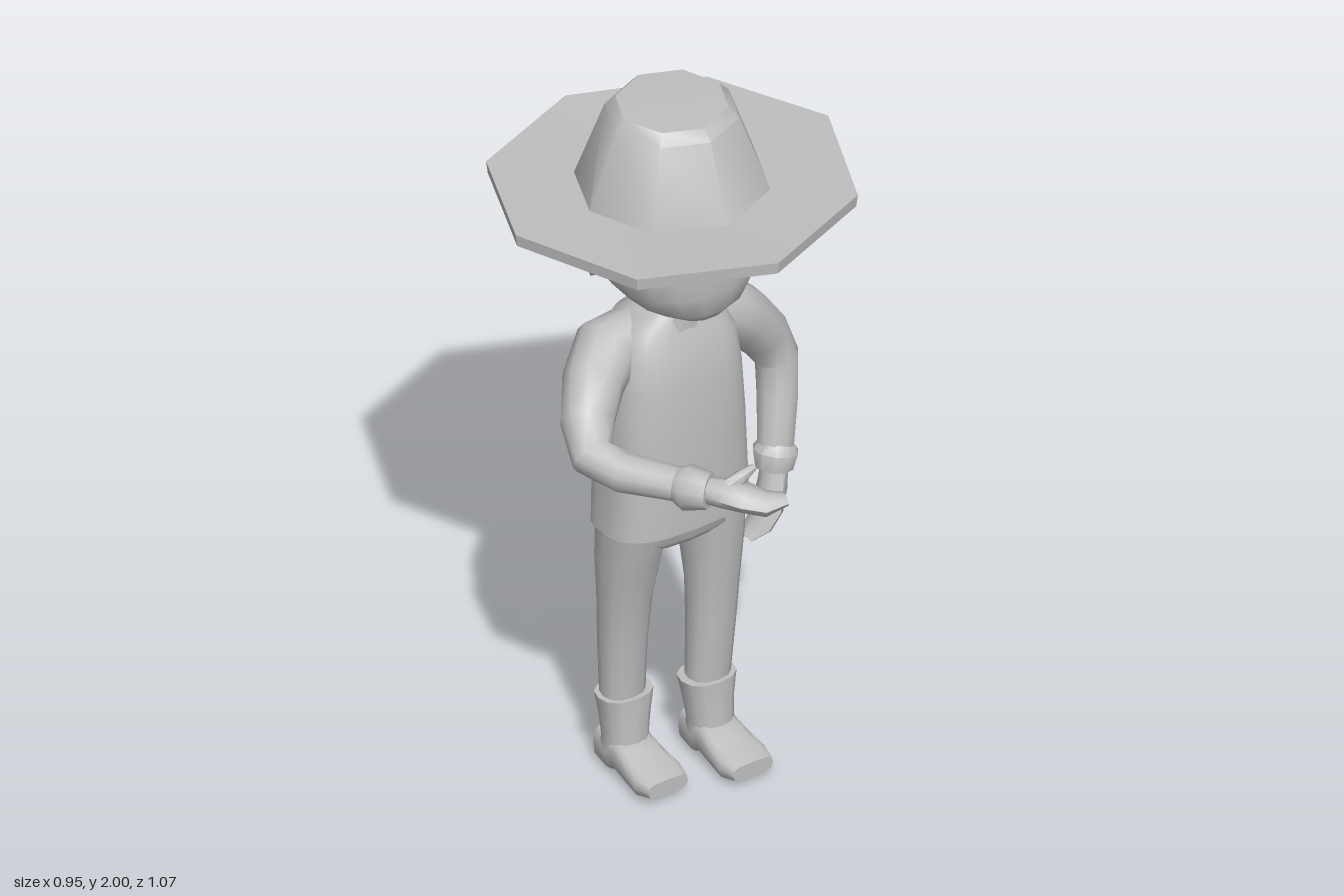
import * as THREE from 'three';
import { toCreasedNormals } from 'three/addons/utils/BufferGeometryUtils.js';

const V = (x, y, z) => new THREE.Vector3(x, y, z);
const spow = (v, e) => Math.sign(v) * Math.pow(Math.abs(v), e);

// Skin a grid of points; columns run counter-clockwise about the row direction.
function skin(rows, cols, at, closed = true, capped = true) {
  const pos = [], idx = [];
  for (let i = 0; i < rows; i++) for (let j = 0; j < cols; j++) pos.push(...at(i, j));
  const last = closed ? cols : cols - 1;
  for (let i = 0; i < rows - 1; i++) for (let j = 0; j < last; j++) {
    const k = (j + 1) % cols, a = i * cols + j, b = i * cols + k;
    idx.push(a, b, b + cols, a, b + cols, a + cols);
  }
  if (capped) for (const row of [0, rows - 1]) {
    const c = [0, 0, 0];
    for (let j = 0; j < cols; j++) at(row, j).forEach((v, n) => { c[n] += v / cols; });
    const m = pos.length / 3;
    pos.push(...c);
    for (let j = 0; j < cols; j++) {
      const a = row * cols + j, b = row * cols + (j + 1) % cols;
      if (row === 0) idx.push(m, b, a); else idx.push(m, a, b);
    }
  }
  const g = new THREE.BufferGeometry();
  g.setAttribute('position', new THREE.Float32BufferAttribute(pos, 3));
  g.setIndex(idx);
  return toCreasedNormals(g, 0.95);
}

// Tapered limb: each point is [x, y, z, radius along ref, radius across].
function limb(pts, { ref = V(1, 0, 0), sides = 10, e = 1, dir = null } = {}) {
  const p = pts.map(q => V(q[0], q[1], q[2]));
  const frames = p.map((_, i) => {
    const t = dir ? dir.clone()
      : p[Math.min(i + 1, p.length - 1)].clone().sub(p[Math.max(i - 1, 0)]).normalize();
    const u = ref.clone().addScaledVector(t, -ref.dot(t)).normalize();
    return [u, t.clone().cross(u)];
  });
  return skin(pts.length, sides, (i, j) => {
    const a = (j / sides) * Math.PI * 2, [u, v] = frames[i];
    return p[i].clone().addScaledVector(u, pts[i][3] * spow(Math.cos(a), e))
      .addScaledVector(v, (pts[i][4] ?? pts[i][3]) * spow(Math.sin(a), e)).toArray();
  });
}

// Upright body section rows: [y, half width, front z, back z].
const column = (rows, sides, e) => limb(
  rows.map(([y, rx, f, b]) => [0, y, (f + b) / 2, rx, (f - b) / 2]),
  { sides, e, dir: V(0, 1, 0) });

function table(t, x) {
  for (let i = 1; i < t.length; i++) if (x <= t[i][0]) {
    const k = (x - t[i - 1][0]) / (t[i][0] - t[i - 1][0]);
    return t[i - 1][1] + (t[i][1] - t[i - 1][1]) * k;
  }
  return t[t.length - 1][1];
}

export function createModel() {
  const model = new THREE.Group();
  const clay = new THREE.MeshStandardMaterial({ color: 0xbfbfbf, side: THREE.DoubleSide });
  clay.name = 'grey';
  const add = (name, geometry) => {
    const m = new THREE.Mesh(geometry, clay);
    m.name = name;
    model.add(m);
  };

  // Eight-sided hat with the back of the brim dipping
  const hat = new THREE.LatheGeometry([
    [0, 1.72], [0.25, 1.708], [0.47, 1.735], [0.474, 1.769], [0.25, 1.757],
    [0.172, 1.965], [0.145, 1.993], [0, 2],
  ].map(q => new THREE.Vector2(...q)), 8);
  const hp = hat.attributes.position;
  for (let i = 0; i < hp.count; i++) {
    if (hp.getZ(i) < 0) hp.setY(i, hp.getY(i) + 0.05 * hp.getZ(i) * (hp.getY(i) < 1.8 ? 1 : 0));
  }
  hat.translate(0, 0, -0.055);
  add('hat', toCreasedNormals(hat, 0.75));

  // Head and neck
  add('head', column([
    [1.42, 0.05, 0.07, -0.12], [1.435, 0.09, 0.12, -0.15], [1.47, 0.15, 0.148, -0.19],
    [1.53, 0.198, 0.157, -0.22], [1.6, 0.218, 0.163, -0.24], [1.68, 0.215, 0.16, -0.24],
    [1.73, 0.2, 0.15, -0.23],
  ], 18, 0.88));
  add('neck', column([[1.34, 0.085, 0.02, -0.14], [1.4, 0.065, 0.015, -0.12], [1.46, 0.07, 0.02, -0.12]], 10, 1));

  // Hair shell with a jagged fringe, dropping behind the ears
  const edge = [[0, 1.675], [0.6, 1.672], [1.2, 1.65], [1.55, 1.615], [1.75, 1.56],
    [1.95, 1.495], [2.3, 1.465], [3.2, 1.47]];
  const hairCols = 32;
  add('hair', skin(6, hairCols, (i, j) => {
    const a = (j / hairCols) * Math.PI * 2, side = Math.min(a, Math.PI * 2 - a);
    const low = table(edge, side) + (side < 1 ? 0.013 * ((j % 3) - 1) : 0);
    const y = low + (1.745 - low) * Math.max(0, i - 1) / 4;
    const s = (1 - 0.16 * Math.pow(Math.max(0, (1.62 - y) / 0.15), 2)) * (i === 0 ? 0.88 : 1);
    return [0.233 * s * spow(Math.sin(a), 0.9), y, -0.05 + 0.22 * s * spow(Math.cos(a), 0.85)];
  }, true, false));

  // Shirt, and open jacket wrapped around it
  const torso = [
    [0.76, 0.205, 0.066, -0.195], [0.86, 0.2, 0.068, -0.2], [1.05, 0.192, 0.068, -0.21],
    [1.2, 0.184, 0.062, -0.215], [1.29, 0.172, 0.048, -0.208], [1.36, 0.135, 0.022, -0.175],
    [1.4, 0.075, 0.01, -0.13],
  ];
  add('shirt', column(torso.map(([y, w, f, b]) => [y, w - 0.012, f - 0.012, b + 0.012]), 20, 0.68));
  const gap = 0.3, cols = 25;
  add('jacket', skin(torso.length, cols, (i, j) => {
    const a = gap + (j / (cols - 1)) * 2 * (Math.PI - gap), [y, w, f, b] = torso[i];
    return [w * spow(Math.sin(a), 0.68), y + (i === 0 ? 0.012 * Math.cos(a) : 0),
      (f + b) / 2 + (f - b) / 2 * spow(Math.cos(a), 0.68)];
  }, false, false));

  // Trousers: hips and two legs, the right one standing further back
  add('hips', column([[0.705, 0.13, 0.02, -0.14], [0.735, 0.185, 0.045, -0.17], [0.85, 0.19, 0.05, -0.18]], 16, 0.75));
  for (const s of [1, -1]) {
    const side = s > 0 ? 'left' : 'right', dz = s > 0 ? 0 : -0.055;
    add(side + 'Leg', limb([
      [0.11 * s, 0.2, -0.06 + dz, 0.058, 0.048], [0.115 * s, 0.38, -0.052 + dz, 0.064, 0.054],
      [0.118 * s, 0.52, -0.05 + dz * 0.8, 0.069, 0.063], [0.118 * s, 0.66, -0.055 + dz * 0.4, 0.08, 0.085],
      [0.113 * s, 0.78, -0.062, 0.087, 0.105],
    ], { sides: 12, dir: V(0, 1, 0), e: 0.85 }));
    add(side + 'BootShaft', limb([
      [0.11 * s, 0.05, -0.05 + dz, 0.06, 0.058], [0.11 * s, 0.1, -0.048 + dz, 0.058, 0.056],
      [0.108 * s, 0.16, -0.053 + dz, 0.066, 0.055], [0.107 * s, 0.225, -0.058 + dz, 0.077, 0.06],
    ], { sides: 12, dir: V(0, 1, 0), e: 0.85 }));
    add(side + 'Foot', limb([
      [0.11 * s, 0.05, -0.115 + dz, 0.05, 0.048], [0.11 * s, 0.052, -0.05 + dz, 0.06, 0.052],
      [0.11 * s, 0.062, -0.02 + dz, 0.06, 0.045], [0.11 * s, 0.05, 0.035 + dz, 0.066, 0.036],
      [0.11 * s, 0.04, 0.1 + dz, 0.072, 0.032], [0.11 * s, 0.042, 0.145 + dz, 0.06, 0.022],
    ], { sides: 12, dir: V(0, 0, 1), e: 0.55 }));
  }

  // Left arm, hanging with a bent elbow
  const Z = V(0, 0, 1);
  add('leftSleeve', limb([
    [0.08, 1.315, -0.095, 0.07, 0.07], [0.17, 1.285, -0.1, 0.09, 0.092], [0.25, 1.218, -0.112, 0.082, 0.08],
    [0.32, 1.135, -0.125, 0.068, 0.07], [0.365, 1.045, -0.125, 0.055, 0.058],
    [0.35, 0.95, -0.1, 0.056, 0.054], [0.32, 0.79, -0.065, 0.045, 0.048],
  ], { ref: Z }));
  add('leftCuff', limb([
    [0.33, 0.83, -0.07, 0.046, 0.046], [0.322, 0.81, -0.067, 0.06, 0.06], [0.315, 0.765, -0.062, 0.05, 0.05],
  ], { ref: Z }));
  add('leftHand', limb([
    [0.318, 0.79, -0.062, 0.035, 0.033], [0.302, 0.72, -0.052, 0.045, 0.034], [0.283, 0.67, -0.045, 0.056, 0.03],
    [0.258, 0.625, -0.045, 0.046, 0.026], [0.218, 0.597, -0.048, 0.026, 0.013],
  ], { ref: Z, sides: 8 }));
  add('leftThumb', limb([
    [0.295, 0.7, -0.03, 0.022], [0.245, 0.715, -0.02, 0.018], [0.203, 0.745, -0.012, 0.009],
  ], { ref: Z, sides: 7 }));

  // Right arm, reaching forward across the chest
  const Y = V(0, 1, 0);
  add('rightSleeve', limb([
    [-0.08, 1.315, -0.095, 0.07, 0.07], [-0.17, 1.29, -0.095, 0.088, 0.09], [-0.25, 1.245, -0.04, 0.085, 0.08],
    [-0.315, 1.19, 0.03, 0.07, 0.07], [-0.35, 1.14, 0.105, 0.056, 0.058],
    [-0.315, 1.128, 0.19, 0.05, 0.056], [-0.21, 1.13, 0.345, 0.042, 0.045],
  ], { ref: Y }));
  add('rightCuff', limb([
    [-0.235, 1.128, 0.31, 0.044, 0.044], [-0.22, 1.128, 0.335, 0.06, 0.06], [-0.185, 1.13, 0.385, 0.048, 0.048],
  ], { ref: Y }));
  add('rightHand', limb([
    [-0.2, 1.132, 0.365, 0.033, 0.035], [-0.162, 1.135, 0.42, 0.036, 0.045], [-0.13, 1.132, 0.46, 0.032, 0.052],
    [-0.09, 1.118, 0.495, 0.03, 0.042], [-0.042, 1.125, 0.515, 0.014, 0.024],
  ], { ref: Y, sides: 8 }));
  add('rightThumb', limb([
    [-0.16, 1.15, 0.42, 0.022], [-0.12, 1.175, 0.43, 0.018], [-0.08, 1.19, 0.43, 0.009],
  ], { ref: Y, sides: 7 }));

  return model;
}
